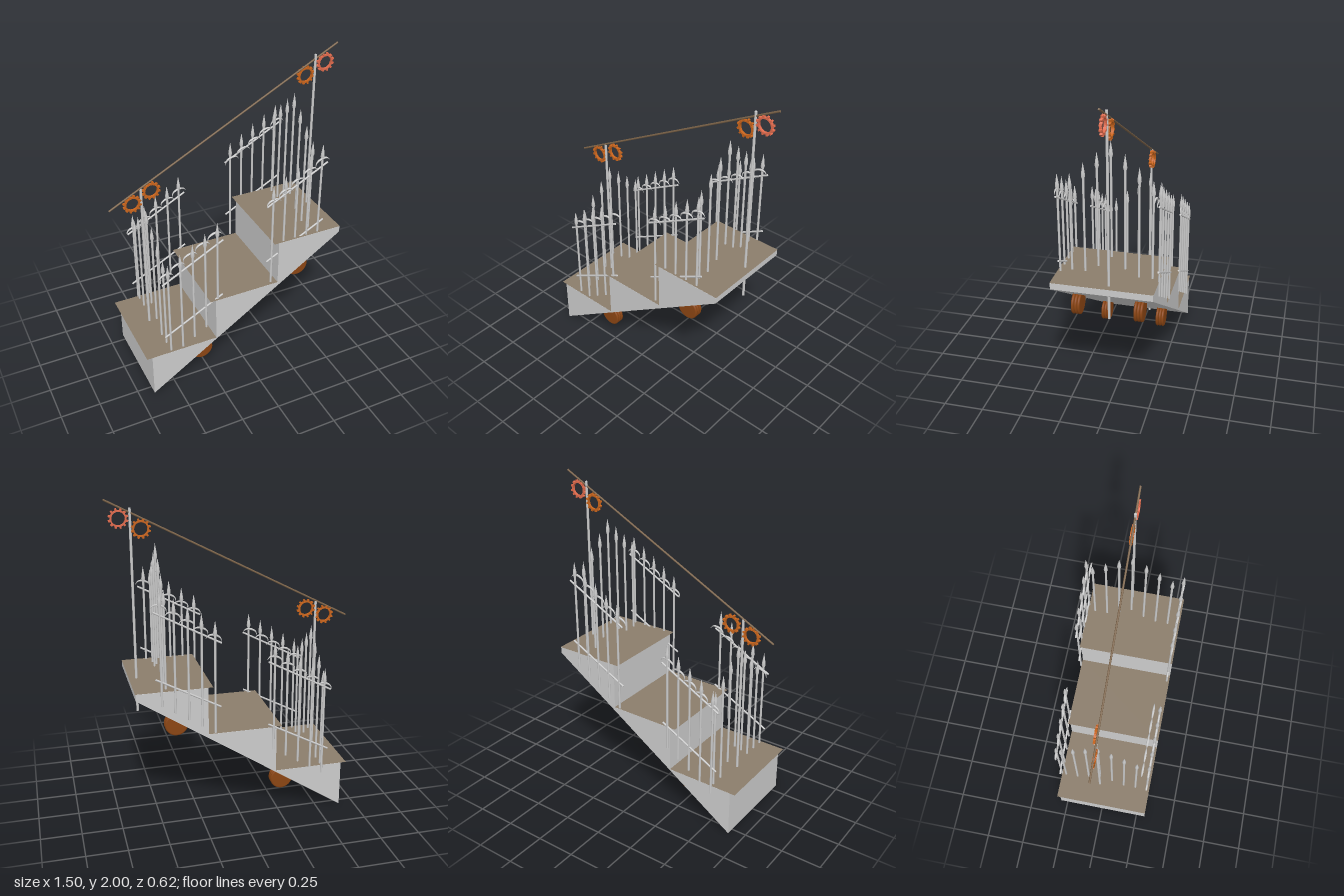
import * as THREE from 'three';

const mat = (color, opts = {}) => new THREE.MeshStandardMaterial({ color, ...opts });
const IRON = mat(0xcccccc);
const STONE = mat(0xcccccc, { flatShading: true, side: THREE.DoubleSide });
const TREAD = mat(0x8b7d6b, { side: THREE.DoubleSide });
const WOOD = mat(0x8b4513);
const RAIL = mat(0x7a6248);
const COPPER = mat(0xc8641c, { flatShading: true });
const RED_COPPER = mat(0xe06a4c, { flatShading: true });

const SLOPE = 0.535;
const POLE_Z = -0.03;

function add(parent, name, geometry, material, x = 0, y = 0, z = 0) {
  const mesh = new THREE.Mesh(geometry, material);
  mesh.name = name;
  mesh.position.set(x, y, z);
  parent.add(mesh);
  return mesh;
}

// Straight round bar between two points
function bar(parent, name, a, b, radius, material) {
  const dir = b.clone().sub(a);
  const mid = a.clone().add(b).multiplyScalar(0.5);
  const mesh = add(parent, name, new THREE.CylinderGeometry(radius, radius, dir.length(), 10), material, mid.x, mid.y, mid.z);
  mesh.quaternion.setFromUnitVectors(new THREE.Vector3(0, 1, 0), dir.normalize());
  return mesh;
}

// Spear-topped baluster, tip at the origin
const BALUSTER = new THREE.LatheGeometry([
  [0, -0.71], [0.007, -0.71], [0.007, -0.1], [0.0125, -0.083], [0.01, -0.06], [0, 0],
].map(([r, y]) => new THREE.Vector2(r, y)), 10);

// Drooping scroll whose thickness fades to a point at both ends
function scrollGeometry() {
  const curve = new THREE.CatmullRomCurve3([
    [-0.05, -0.012], [-0.038, 0.012], [-0.015, 0.022], [0.015, 0.022], [0.038, 0.012], [0.05, -0.012],
  ].map(([x, y]) => new THREE.Vector3(x, y, 0)));
  const steps = 16, sides = 6;
  const geometry = new THREE.TubeGeometry(curve, steps, 0.007, sides);
  const p = geometry.attributes.position;
  const v = new THREE.Vector3();
  for (let i = 0; i <= steps; i++) {
    const center = curve.getPointAt(i / steps);
    const scale = 0.08 + 0.92 * Math.sin(Math.PI * i / steps);
    for (let j = 0; j <= sides; j++) {
      const k = i * (sides + 1) + j;
      v.fromBufferAttribute(p, k).sub(center).multiplyScalar(scale).add(center);
      p.setXYZ(k, v.x, v.y, v.z);
    }
  }
  geometry.computeVertexNormals();
  return geometry;
}
const SCROLL = scrollGeometry();

// Sloping side fence: five balusters, two bars and a row of scrolls
function sideFence(name, x0, top0, z, scrollZ) {
  const fence = new THREE.Group();
  fence.name = name;
  const step = 0.0805;
  const at = (x, drop) => new THREE.Vector3(x, top0 + (x - x0) * 0.63 - drop, z);
  for (let i = 0; i < 5; i++) {
    const x = x0 + i * step;
    add(fence, 'baluster', BALUSTER, IRON, x, at(x, 0).y, z);
    const scroll = add(fence, 'scroll', SCROLL, IRON, x, at(x, 0.12).y, scrollZ);
    scroll.rotation.z = 0.3;
  }
  const mid = x0 + 2 * step;
  const midTop = at(mid, 0).y;
  for (const [barName, drop, half] of [['upperBar', 0.135, 0.2], ['lowerBar', 0.54, 0.195]]) {
    bar(fence, barName,
      new THREE.Vector3(mid - half, midTop - drop - half * SLOPE, z),
      new THREE.Vector3(mid + half, midTop - drop + half * SLOPE, z), 0.006, IRON);
  }
  return fence;
}

// Cross row of seven balusters rising to a peak in the middle
function peakedRow(name, x, peak, midZ) {
  const row = new THREE.Group();
  row.name = name;
  for (let i = -3; i <= 3; i++) {
    add(row, 'baluster', BALUSTER, IRON, x, peak - 0.07 * Math.abs(i), midZ + i * 0.0805);
  }
  return row;
}

// Toothed ring facing z
function gearGeometry(teeth = 12) {
  const shape = new THREE.Shape();
  for (let i = 0; i < teeth; i++) {
    for (const [f, r] of [[0, 0.048], [0.3, 0.048], [0.38, 0.059], [0.72, 0.059], [0.8, 0.048]]) {
      const a = (i + f) / teeth * Math.PI * 2;
      const x = r * Math.cos(a), y = r * Math.sin(a);
      if (i === 0 && f === 0) shape.moveTo(x, y);
      else shape.lineTo(x, y);
    }
  }
  shape.closePath();
  const hole = new THREE.Path();
  hole.absarc(0, 0, 0.039, 0, Math.PI * 2, true);
  shape.holes.push(hole);
  const geometry = new THREE.ExtrudeGeometry(shape, { depth: 0.016, bevelEnabled: false, curveSegments: 12 });
  geometry.translate(0, 0, -0.008);
  return geometry;
}

// Wheel with three rounded ridges, axis along z
function wheelGeometry() {
  const points = [new THREE.Vector2(0, -0.028)];
  for (const c of [-0.019, 0, 0.019]) {
    for (let k = 0; k <= 6; k++) {
      const a = -Math.PI / 2 + Math.PI * k / 6;
      points.push(new THREE.Vector2(0.063 + 0.01 * Math.cos(a), c + 0.0092 * Math.sin(a)));
    }
  }
  points.push(new THREE.Vector2(0, 0.028));
  return new THREE.LatheGeometry(points, 32).rotateX(Math.PI / 2);
}

export function createModel() {
  const model = new THREE.Group();
  model.name = 'steppedRide';

  // Stepped body with a sloping underside
  const profile = new THREE.Shape([
    [-0.655, 0.005], [0.645, 0.865], [0.645, 0.905], [0.21, 0.905], [0.21, 0.603],
    [-0.22, 0.603], [-0.22, 0.302], [-0.655, 0.302],
  ].map(([x, y]) => new THREE.Vector2(x, y)));
  const body = new THREE.ExtrudeGeometry(profile, { depth: 0.605, bevelEnabled: false });
  add(model, 'steppedBody', body, STONE, 0, 0, -0.297);

  // Thin treads that overhang each riser
  for (const [x0, x1, y] of [[-0.69, -0.22, 0.304], [-0.256, 0.21, 0.605], [0.18, 0.647, 0.907]]) {
    const tread = new THREE.PlaneGeometry(x1 - x0, 0.608).rotateX(-Math.PI / 2);
    add(model, 'tread', tread, TREAD, (x0 + x1) / 2, y, 0.005);
  }

  // Wheels half sunk into the underside
  const wheel = wheelGeometry();
  for (const [x, y] of [[-0.293, 0.187], [0.386, 0.64]]) {
    for (const z of [0.222, -0.166]) add(model, 'wheel', wheel, WOOD, x, y, z);
  }

  // Fences along both sides and across both ends
  model.add(
    sideFence('lowerFrontFence', -0.522, 0.962, 0.29, 0.25),
    sideFence('lowerBackFence', -0.522, 0.962, -0.3, -0.3),
    sideFence('upperFrontFence', 0.168, 1.322, 0.292, 0.295),
    sideFence('upperBackFence', 0.168, 1.322, -0.3, -0.275),
    peakedRow('lowerEndRow', -0.522, 1.155, -0.03),
    peakedRow('upperEndRow', 0.458, 1.73, -0.012),
  );

  // Tall poles and the overhead rail
  for (const [x, y0, y1] of [[-0.545, 0.065, 1.315], [0.6, 0.69, 1.945]]) {
    bar(model, 'pole', new THREE.Vector3(x, y0, POLE_Z), new THREE.Vector3(x, y1, POLE_Z), 0.008, IRON);
  }
  bar(model, 'overheadRail', new THREE.Vector3(-0.748, 1.21, POLE_Z), new THREE.Vector3(0.748, 1.995, POLE_Z), 0.006, RAIL);

  // Gears hanging under the rail
  const gear = gearGeometry();
  for (const [x, y, z, m] of [
    [-0.603, 1.222, -0.03, COPPER], [-0.476, 1.275, -0.045, COPPER],
    [0.54, 1.822, -0.035, COPPER], [0.667, 1.885, -0.028, RED_COPPER],
  ]) add(model, 'gear', gear, m, x, y, z);

  return model;
}
